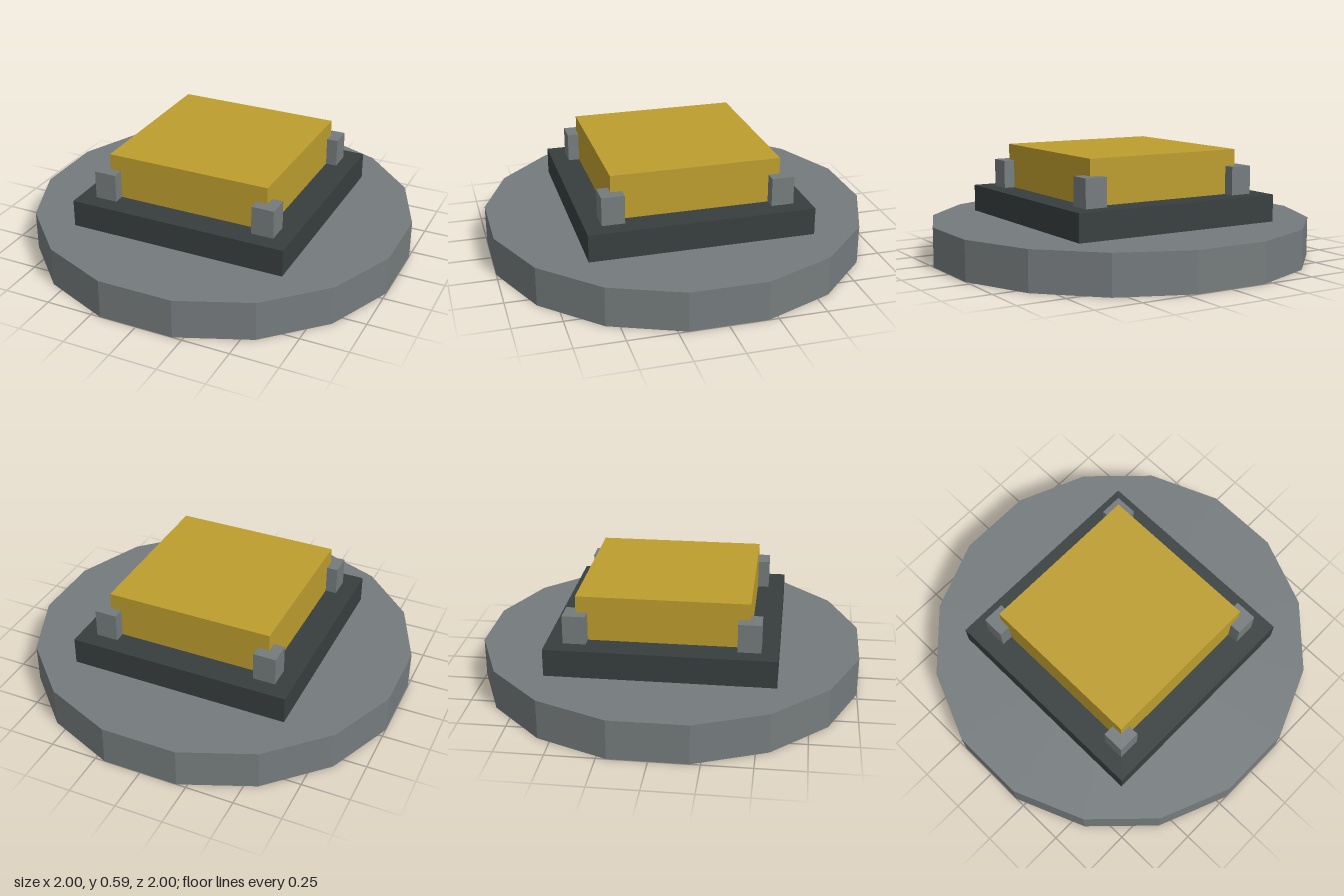
import * as THREE from 'three';

export function createModel() {
  const group = new THREE.Group();
  const material = (name, color, extra = {}) =>
    new THREE.MeshStandardMaterial({ name, color, flatShading: true, ...extra });
  const grey = material('grey', 0x757b7d, { side: THREE.DoubleSide });
  const charcoal = material('charcoal', 0x383e3e);
  const gold = material('gold', 0xbd9d2e);

  const add = (name, geometry, mat, x, y, z) => {
    const mesh = new THREE.Mesh(geometry, mat);
    mesh.name = name;
    mesh.position.set(x, y, z);
    group.add(mesh);
    return mesh;
  };
  // Square block given by its width and its bottom and top heights
  const block = (name, width, bottom, top, mat, x = 0, z = 0) =>
    add(name, new THREE.BoxGeometry(width, top - bottom, width), mat, x, (bottom + top) / 2, z);

  // Sixteen-sided base: a rim and a top, hollow and open underneath
  const sides = 16, turn = Math.PI / sides, radius = 1 / Math.cos(turn), baseTop = 0.208;
  add('baseRim', new THREE.CylinderGeometry(radius, radius, baseTop, sides, 1, true, turn),
    grey, 0, baseTop / 2, 0);
  add('baseTop', new THREE.CircleGeometry(radius, sides, turn), grey, 0, baseTop, 0)
    .rotation.x = -Math.PI / 2;

  // Plinth just clear of the base top, with the gold block on it
  block('plinth', 1.174, baseTop + 0.002, 0.354, charcoal);
  block('goldBlock', 0.882, 0.354, 0.589, gold);

  // Corner posts
  for (const x of [-1, 1])
    for (const z of [-1, 1])
      block('cornerPost', 0.118, 0.354, 0.503, grey, x * 0.441, z * 0.441);

  return group;
}
